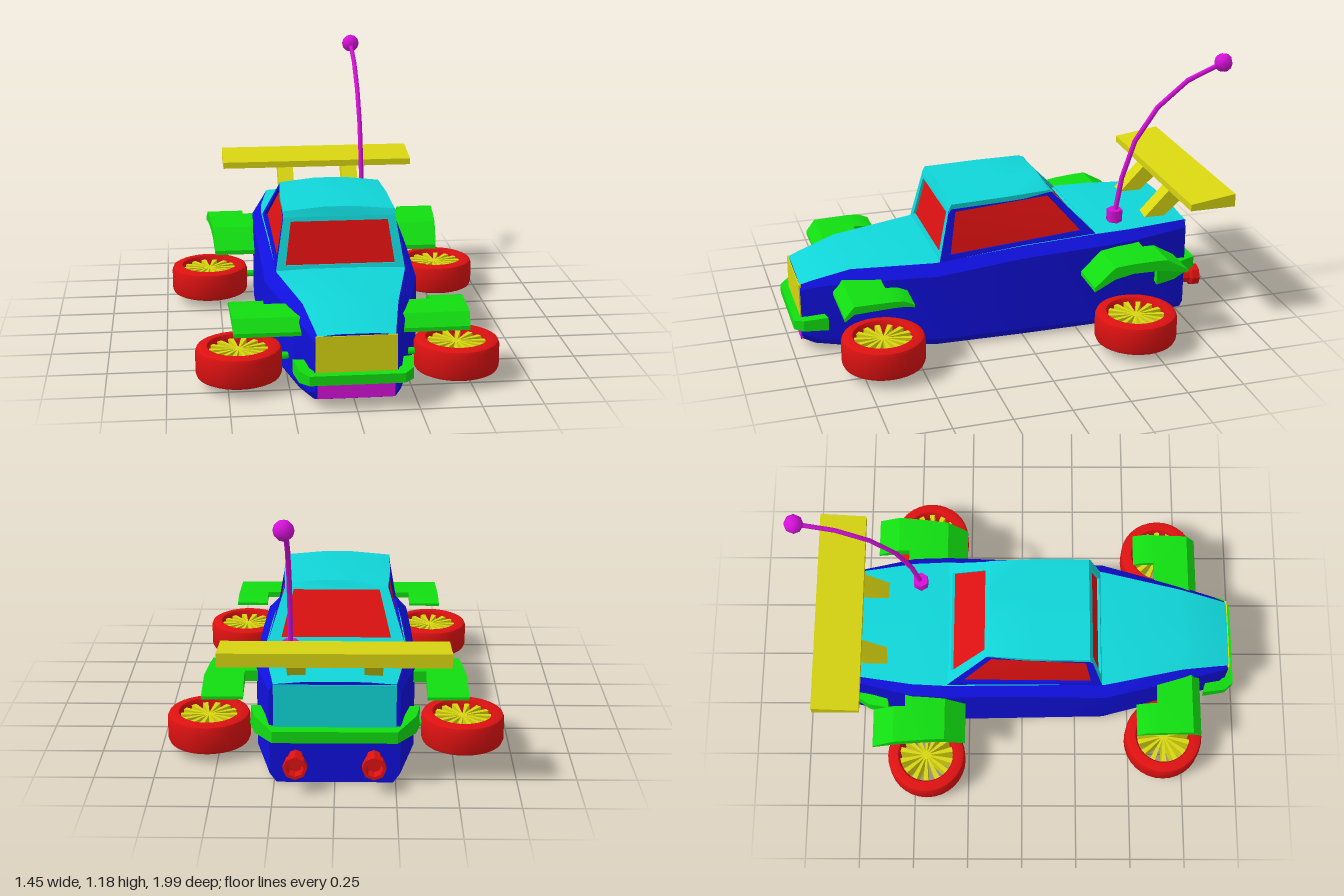
import * as THREE from 'three';
import { toCreasedNormals } from 'three/addons/utils/BufferGeometryUtils.js';

const paint = (color) => new THREE.MeshStandardMaterial({ color, side: THREE.DoubleSide });
const RED = paint(0xdd1111), BLUE = paint(0x1010dd), CYAN = paint(0x10d5d8);
const GREEN = paint(0x11dd11), YELLOW = paint(0xd8d511), MAGENTA = paint(0xd511d8);

// Surface through rows of points, each row having the same length
function loft(rows) {
  const n = rows[0].length, index = [];
  for (let i = 0; i < rows.length - 1; i++)
    for (let j = 0; j < n - 1; j++) {
      const a = i * n + j, b = a + n;
      index.push(a, b, a + 1, a + 1, b, b + 1);
    }
  const geo = new THREE.BufferGeometry();
  geo.setAttribute('position', new THREE.Float32BufferAttribute(rows.flat(2), 3));
  geo.setIndex(index);
  geo.computeVertexNormals();
  return toCreasedNormals(geo, 0.5);
}

// Closed solid through rings of four corners, with capped ends
function solid(rings) {
  const middle = (r) => Array(5).fill([0, 1, 2].map((k) => r.reduce((t, p) => t + p[k], 0) / r.length));
  const rows = rings.map((r) => [...r, r[0]]);
  return loft([middle(rings[0]), ...rows, middle(rings[rings.length - 1])]);
}

export function createModel() {
  const model = new THREE.Group();
  const add = (name, geo, mat, parent = model) => {
    const mesh = new THREE.Mesh(geo, mat);
    mesh.name = name;
    parent.add(mesh);
    return mesh;
  };

  // Body sections: z, floor x/y, sill x/y, shoulder x/y, top edge x/y, crown y
  const sections = [
    [0.955, 0.14, 0.04, 0.165, 0.07, 0.168, 0.28, 0.155, 0.302, 0.31],
    [0.9, 0.165, 0.02, 0.185, 0.05, 0.185, 0.295, 0.165, 0.32, 0.33],
    [0.74, 0.21, 0.005, 0.23, 0.04, 0.23, 0.315, 0.195, 0.365, 0.38],
    [0.38, 0.29, 0, 0.325, 0.04, 0.325, 0.34, 0.275, 0.382, 0.388],
    [0, 0.3, 0, 0.333, 0.04, 0.333, 0.38, 0.29, 0.42, 0.425],
    [-0.34, 0.3, 0, 0.34, 0.04, 0.34, 0.395, 0.3, 0.44, 0.45],
    [-0.5, 0.3, 0, 0.333, 0.04, 0.333, 0.4, 0.292, 0.44, 0.45],
    [-0.78, 0.24, 0, 0.268, 0.04, 0.268, 0.405, 0.25, 0.437, 0.447],
  ];
  add('floorPan', loft(sections.map(([z, x, y]) => [[-x, y, z], [x, y, z]])), MAGENTA);
  add('hoodAndRearDeck', loft(sections.map((q) =>
    [[-q[7], q[8], q[0]], [-q[7] * 0.5, q[9], q[0]], [q[7] * 0.5, q[9], q[0]], [q[7], q[8], q[0]]])), CYAN);
  for (const s of [1, -1])
    add(s > 0 ? 'leftBodySide' : 'rightBodySide', loft(sections.map((q) =>
      [1, 3, 5, 7].map((k) => [s * q[k], q[k + 1], q[0]]))), BLUE);

  // End walls with their coloured panels
  for (const q of [sections[0], sections[sections.length - 1]]) {
    const side = [1, 3, 5, 7].map((k) => [q[k], q[k + 1]]);
    const outline = [...side, [q[7] * 0.5, q[9]], [-q[7] * 0.5, q[9]], ...side.reverse().map(([x, y]) => [-x, y])];
    const shape = new THREE.Shape(outline.map((p) => new THREE.Vector2(...p)));
    add(q[0] > 0 ? 'noseWall' : 'tailWall', new THREE.ShapeGeometry(shape).translate(0, 0, q[0]), BLUE);
  }
  add('nosePanel', new THREE.BoxGeometry(0.325, 0.15, 0.01).translate(0, 0.228, 0.955), YELLOW);
  add('lowerNosePanel', new THREE.BoxGeometry(0.31, 0.075, 0.01).translate(0, 0.08, 0.955), MAGENTA);
  add('tailPanel', new THREE.BoxGeometry(0.5, 0.2, 0.01).translate(0, 0.335, -0.78), CYAN);

  // Cabin walls: frame around a recessed pane, corners given bottom a, b then top c, d
  function windowWall(name, corners, margin, frame) {
    const [a, b, c, d] = corners.map((p) => new THREE.Vector3(...p));
    const at = (u, v) => a.clone().lerp(b, u).lerp(d.clone().lerp(c, u), v);
    const [u, v0, v1] = margin;
    const inner = [at(u, v0), at(1 - u, v0), at(1 - u, 1 - v1), at(u, 1 - v1)];
    const inward = at(0.5, 0.5).sub(new THREE.Vector3(0, 0.45, 0.03)).normalize().multiplyScalar(-0.012);
    const pane = inner.map((p) => p.clone().add(inward));
    const ring = (l) => [...l, l[0]].map((p) => p.toArray());
    const group = new THREE.Group();
    group.name = name;
    add('frame', loft([ring([a, b, c, d]), ring(inner), ring(pane)]), frame, group);
    const p = pane.map((k) => k.toArray());
    add('pane', loft([[p[0], p[1]], [p[3], p[2]]]), RED, group);
    model.add(group);
  }
  const low = { f: [0.278, 0.38, 0.365], r: [0.295, 0.44, -0.34] };
  const high = { f: [0.24, 0.61, 0.31], r: [0.225, 0.635, -0.155] };
  const flip = ([x, y, z]) => [-x, y, z];
  windowWall('windshield', [flip(low.f), low.f, high.f, flip(high.f)], [0.07, 0.11, 0.1], CYAN);
  windowWall('rearWindow', [low.r, flip(low.r), flip(high.r), high.r], [0.09, 0.1, 0.06], CYAN);
  windowWall('leftWindow', [low.f, low.r, high.r, high.f], [0.065, 0.12, 0.07], BLUE);
  windowWall('rightWindow', [low.f, low.r, high.r, high.f].map(flip), [0.065, 0.12, 0.07], BLUE);

  // Crowned roof with a short front and rear lip
  const roof = [[0.312, 0.243, 0.606, 0.606], [0.3, 0.24, 0.63, 0.646], [0.05, 0.238, 0.637, 0.655],
    [-0.145, 0.226, 0.642, 0.66], [-0.165, 0.226, 0.632, 0.632]];
  add('roof', loft(roof.map(([z, x, edge, crown]) =>
    [[-x, edge - 0.022, z], [-x, edge, z], [-0.065, crown, z], [0.065, crown, z], [x, edge, z], [x, edge - 0.022, z]])), CYAN);

  // Wheels lying flat, with deep blade spokes
  const tyreProfile = [[0.122, -0.05], [0.13, -0.067], [0.158, -0.067], [0.172, -0.06], [0.178, -0.045], [0.178, 0.045],
    [0.172, 0.06], [0.158, 0.067], [0.13, 0.067], [0.122, 0.05], [0.122, -0.05]].map((p) => new THREE.Vector2(...p));
  const tyre = toCreasedNormals(new THREE.LatheGeometry(tyreProfile, 32), 0.6);
  const blade = new THREE.ExtrudeGeometry(new THREE.Shape([[0.01, -0.003], [0.125, -0.012], [0.125, 0.012], [0.01, 0.003]]
    .map((p) => new THREE.Vector2(...p))), { depth: 0.1, bevelEnabled: false }).translate(0, 0, -0.05).rotateX(-Math.PI / 2);
  for (const s of [1, -1])
    for (const [name, x, z, bodyX] of [['front', 0.453, 0.657, 0.24], ['rear', 0.545, -0.442, 0.32]]) {
      const wheel = new THREE.Group();
      wheel.name = name + 'Wheel';
      add('tyre', tyre, RED, wheel);
      add('hub', new THREE.CylinderGeometry(0.02, 0.02, 0.1, 12), YELLOW, wheel);
      for (let i = 0; i < 14; i++) add('spoke', blade, YELLOW, wheel).rotation.y = (i / 14) * Math.PI * 2;
      wheel.position.set(s * x, 0.102, z);
      model.add(wheel);
      const end = x - 0.165;
      add(name + 'Axle', new THREE.CylinderGeometry(0.016, 0.016, end - bodyX + 0.06, 8).rotateZ(Math.PI / 2)
        .translate(s * (end + bodyX - 0.06) / 2, 0.115, z), GREEN);
    }

  // Fenders: z, top y, underside y, inner x, outer x; the inner edge steps away from the body
  const fenders = {
    frontFender: [[0.82, 0.275, 0.258, 0.19, 0.478], [0.78, 0.325, 0.29, 0.2, 0.482], [0.62, 0.328, 0.3, 0.24, 0.487],
      [0.62, 0.328, 0.3, 0.345, 0.487], [0.57, 0.325, 0.3, 0.345, 0.488], [0.525, 0.305, 0.293, 0.345, 0.49]],
    rearFender: [[-0.26, 0.288, 0.268, 0.31, 0.52], [-0.35, 0.375, 0.32, 0.31, 0.528], [-0.43, 0.385, 0.34, 0.31, 0.535],
      [-0.53, 0.39, 0.342, 0.31, 0.543], [-0.53, 0.39, 0.342, 0.38, 0.543], [-0.58, 0.39, 0.34, 0.38, 0.547],
      [-0.675, 0.335, 0.322, 0.38, 0.553]],
  };
  for (const [name, stations] of Object.entries(fenders))
    for (const s of [1, -1])
      add(name, solid(stations.map(([z, t, b, i, o]) =>
        [[s * i, t, z], [s * o, t, z], [s * o, b, z], [s * i, b, z]])), GREEN);

  // Wrap-around bumpers: inner x/z, outer x/z, bottom y, top y for one side, mirrored
  const bumper = (half) => solid([...half, ...half.slice().reverse().map((h) => [-h[0], h[1], -h[2], ...h.slice(3)])]
    .map(([ix, iz, ox, oz, b, t]) => [[ix, b, iz], [ox, b, oz], [ox, t, oz], [ix, t, iz]]));
  add('frontBumper', bumper([[0.2, 0.86, 0.245, 0.85, 0.113, 0.172], [0.185, 0.93, 0.228, 0.955, 0.113, 0.162],
    [0.16, 0.95, 0.19, 0.993, 0.112, 0.152]]), GREEN);
  add('rearBumper', bumper([[0.31, -0.62, 0.352, -0.615, 0.18, 0.272], [0.28, -0.72, 0.335, -0.705, 0.188, 0.265],
    [0.235, -0.78, 0.255, -0.832, 0.2, 0.25]]), GREEN);

  // Flared exhausts
  for (const s of [1, -1])
    add('exhaust', new THREE.LatheGeometry([[0.032, -0.02], [0.036, 0.06], [0.05, 0.07], [0.05, 0.105], [0.036, 0.105],
      [0.03, 0.07], [0, 0.07]].map((p) => new THREE.Vector2(...p)), 8).rotateX(-Math.PI / 2)
      .translate(s * 0.16, 0.114, -0.785).toNonIndexed(), RED).geometry.computeVertexNormals();

  // Rear wing on two raked struts
  const wing = [[-0.715, 0.568], [-0.715, 0.598], [-0.922, 0.626], [-0.922, 0.568]];
  add('wing', solid([-0.463, 0.463].map((x) => wing.map(([z, y]) => [x, y, z]))), YELLOW);
  const strut = [[-0.605, 0.44], [-0.7, 0.44], [-0.86, 0.58], [-0.74, 0.58]];
  for (const s of [1, -1])
    add('wingStrut', solid([0.12, 0.195].map((x) => strut.map(([z, y]) => [s * x, y, z]))), YELLOW);

  // Swept-back aerial with base and ball
  const points = [[0.47, -0.465], [0.665, -0.5], [0.81, -0.55], [0.94, -0.635], [1.057, -0.765], [1.14, -0.957]];
  const aerial = new THREE.CatmullRomCurve3(points.map(([y, z]) => new THREE.Vector3(0.19, y, z)));
  add('aerialRod', new THREE.TubeGeometry(aerial, 5, 0.011, 6), MAGENTA);
  add('aerialBase', new THREE.CylinderGeometry(0.036, 0.036, 0.06, 6).rotateY(Math.PI / 6).translate(0.19, 0.47, -0.465), MAGENTA);
  add('aerialBall', new THREE.SphereGeometry(0.042, 8, 6).translate(0.19, 1.14, -0.957), MAGENTA);

  return model;
}
